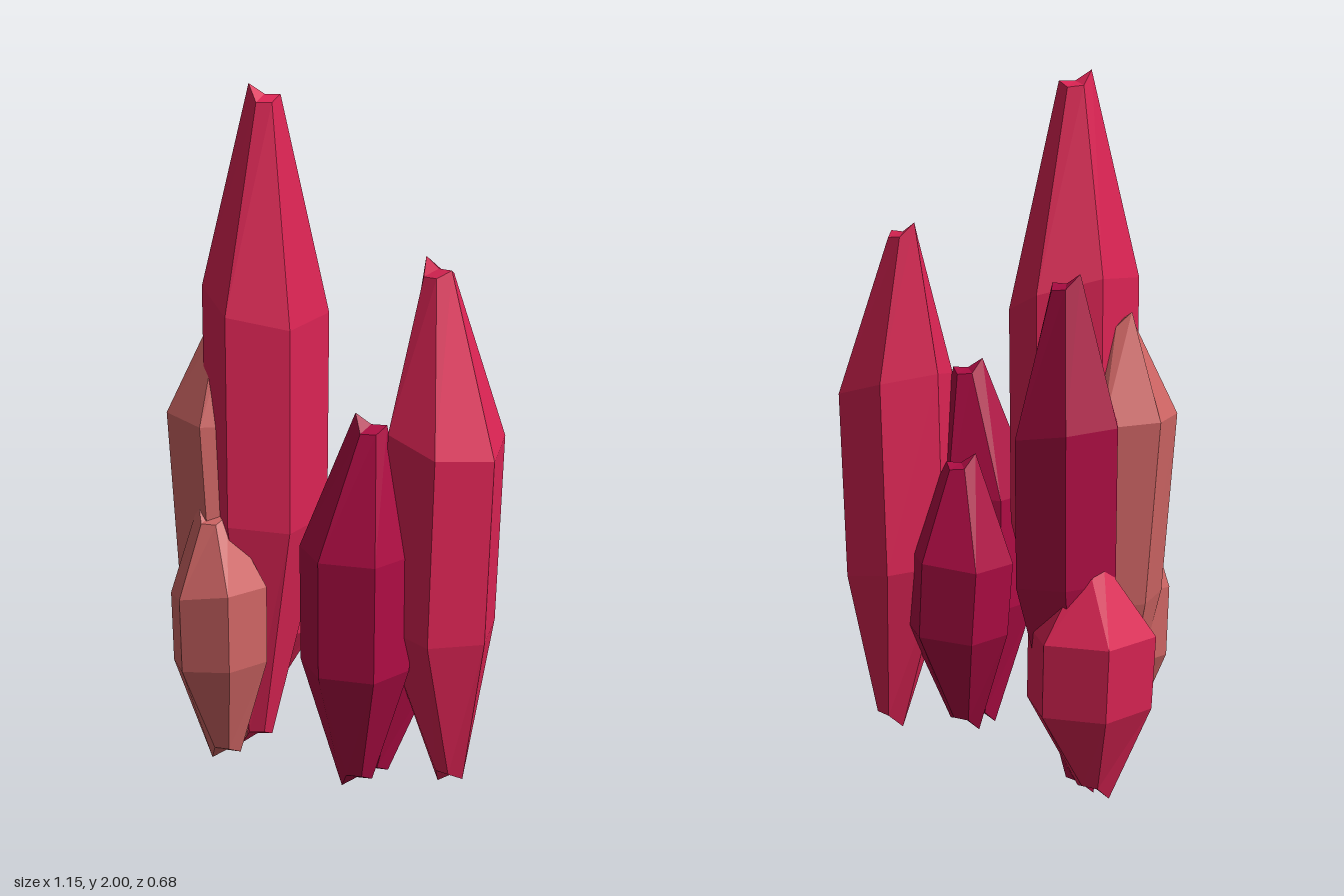
import * as THREE from 'three';

const flat = (name, color) => {
  const m = new THREE.MeshStandardMaterial({ color, flatShading: true });
  m.name = name;
  return m;
};

const SIDES = 6;
const END_RADIUS = 0.045;
// Uneven heights around the broken ends
const CHIPS = [-0.02, -0.02, 0.03, -0.01, -0.015, 0];

// Height rule for a six-sided ring; the corner angle starts at turn degrees
function ring(x, z, rx, rz, turn, height) {
  return Array.from({ length: SIDES }, (_, i) => {
    const a = THREE.MathUtils.degToRad(turn + i * 360 / SIDES);
    const dx = rx * Math.cos(a);
    return [x + dx, height(dx, i), z + rz * Math.sin(a)];
  });
}

// Crystal: small base, two wide rings and a small tip.
// belt: centre x, z, radius x, z and turn of the wide rings
// high: height and slope along x; low: height and shift along x
function crystal(name, material, belt, high, low, tip, base) {
  const [x, z, rx, rz, turn] = belt;
  const [tipX, tipY, tipZ] = tip;
  const [baseX, baseZ] = base;
  const baseY = 0.03;
  const rings = [
    ring(baseX, baseZ, END_RADIUS, END_RADIUS, turn, (dx, i) => baseY - CHIPS[i]),
    ring(x + low[1], z, rx * 0.98, rz * 0.98, turn, dx => low[0] + 0.6 * high[1] * dx),
    ring(x, z, rx, rz, turn, dx => high[0] + high[1] * dx),
    ring(tipX, tipZ, END_RADIUS, END_RADIUS, turn, (dx, i) => tipY + CHIPS[i]),
  ];

  const positions = [];
  const tri = (...corners) => positions.push(...corners.flat());
  for (let i = 0; i < SIDES; i++) {
    const j = (i + 1) % SIDES;
    for (let k = 0; k < 3; k++) {
      const a = rings[k][i], b = rings[k][j], c = rings[k + 1][j], d = rings[k + 1][i];
      tri(a, d, b);
      tri(b, d, c);
    }
    // end caps
    tri(tip, rings[3][j], rings[3][i]);
    tri([baseX, baseY, baseZ], rings[0][i], rings[0][j]);
  }
  const geometry = new THREE.BufferGeometry();
  geometry.setAttribute('position', new THREE.Float32BufferAttribute(positions, 3));
  geometry.computeVertexNormals();
  const mesh = new THREE.Mesh(geometry, material);
  mesh.name = name;
  return mesh;
}

export function createModel() {
  const bright = flat('brightCrimson', 0xdc2454);
  const deep = flat('deepCrimson', 0xb00c44);
  const salmon = flat('salmon', 0xd06665);

  const group = new THREE.Group();
  group.name = 'crystalCluster';
  group.add(
    // left cluster
    crystal('tallCrystal', bright, [-0.155, 0.02, 0.16, 0.2, 11], [1.38, -0.4], [0.75, 0], [-0.15, 1.97, 0.025], [-0.18, 0.04]),
    crystal('backCrystal', deep, [-0.33, -0.168, 0.168, 0.153, 46], [1.04, -0.2], [0.62, 0], [-0.335, 1.45, -0.175], [-0.35, -0.13]),
    crystal('smallLeftCrystal', bright, [-0.415, -0.15, 0.182, 0.183, 28], [0.49, 0], [0.28, 0.01], [-0.43, 0.67, -0.18], [-0.415, -0.14]),
    crystal('tallSalmonCrystal', salmon, [-0.28, 0.085, 0.156, 0.17, 59], [1.03, -0.1], [0.5, 0.05], [-0.27, 1.31, 0.09], [-0.22, 0.09]),
    crystal('smallSalmonCrystal', salmon, [-0.165, 0.195, 0.153, 0.147, 28], [0.53, 0.2], [0.31, 0.005], [-0.18, 0.76, 0.2], [-0.14, 0.19]),
    // right cluster
    crystal('rightCrystal', bright, [0.415, -0.17, 0.163, 0.181, 51], [1.06, -0.3], [0.5, -0.02], [0.355, 1.52, -0.185], [0.42, -0.2]),
    crystal('frontRightCrystal', deep, [0.275, 0.045, 0.17, 0.153, 24], [0.73, 0], [0.39, 0], [0.305, 1.1, 0.015], [0.26, 0.02]),
    crystal('innerRightCrystal', deep, [0.2, -0.11, 0.175, 0.15, 27], [0.57, 0.1], [0.34, 0.02], [0.19, 0.85, -0.11], [0.24, -0.06]),
  );
  return group;
}
